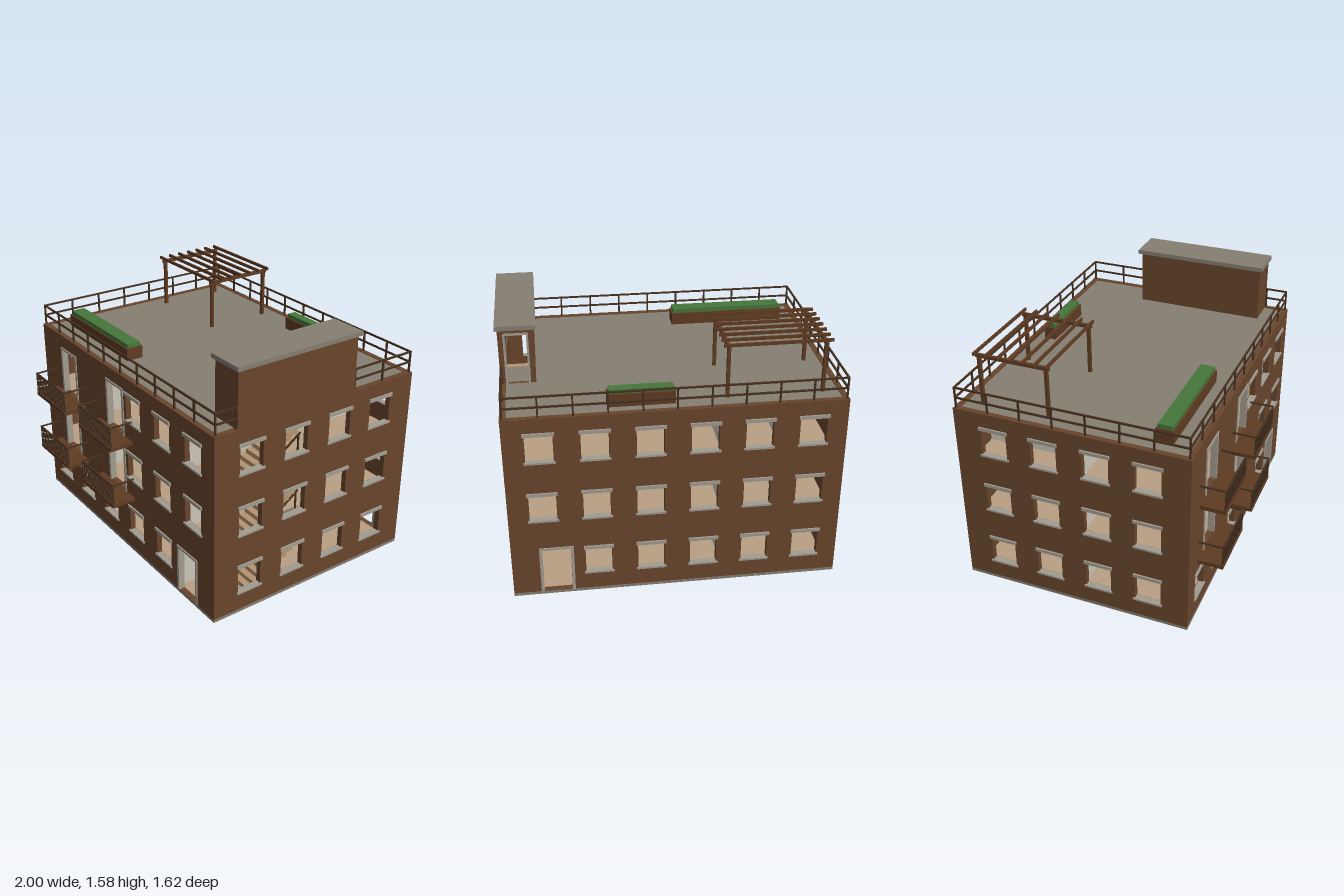
import * as THREE from 'three';

const mat = (name, color) => {
  const m = new THREE.MeshStandardMaterial({ color });
  m.name = name;
  return m;
};

export function createModel() {
  const M = {
    brick: mat('brown brick', 0x68452c),
    trim: mat('stone trim', 0xa29c91),
    concrete: mat('grey concrete', 0x857e72),
    plaster: mat('cream plaster', 0xcbc6b9),
    floor: mat('tan floor', 0xb8a083),
    stair: mat('stair wood', 0xb4946f),
    wood: mat('dark wood', 0x5f3b22),
    metal: mat('railing brown', 0x46301f),
    leaf: mat('green hedge', 0x46753a),
  };
  const root = new THREE.Group();
  root.name = 'apartmentBuilding';

  const group = (name, parent = root) => {
    const g = new THREE.Group();
    g.name = name;
    parent.add(g);
    return g;
  };
  // Box given by its min and max corners
  const box = (parent, name, m, x0, x1, y0, y1, z0, z1) => {
    const mesh = new THREE.Mesh(new THREE.BoxGeometry(x1 - x0, y1 - y0, z1 - z0), m);
    mesh.position.set((x0 + x1) / 2, (y0 + y1) / 2, (z0 + z1) / 2);
    mesh.name = name;
    parent.add(mesh);
    return mesh;
  };
  const rectPath = (p, x0, x1, y0, y1) =>
    p.moveTo(x0, y0).lineTo(x1, y0).lineTo(x1, y1).lineTo(x0, y1).closePath();
  const plate = (outer, holes, depth) => {
    const s = new THREE.Shape();
    rectPath(s, ...outer);
    holes.forEach(h => s.holes.push(rectPath(new THREE.Path(), ...h)));
    return new THREE.ExtrudeGeometry(s, { depth, bevelEnabled: false });
  };

  const H = 0.395, Y0 = 0.02, TOP = 1.21, T = 0.035;
  const XW = 0.99, ZF = 0.65, ZB = -0.8;
  const floors = [0, 1, 2].map(i => Y0 + i * H);

  // Wall in its own plane, outside facing local +z; openings get stone trim
  const wall = (name, u0, u1, windows, doors) => {
    const g = group(name);
    const holes = [];
    for (const [u, y] of windows) {
      const a = y + 0.12, b = y + 0.295;
      holes.push([u - 0.08, u + 0.08, a, b]);
      box(g, 'lintel', M.trim, u - 0.09, u + 0.09, b - 0.005, b + 0.016, -0.012, 0.01);
      box(g, 'sill', M.trim, u - 0.09, u + 0.09, a - 0.008, a + 0.004, -0.03, 0.01);
    }
    for (const [u, y, h] of doors) {
      const w = 0.1;
      holes.push([u - w + 0.008, u + w - 0.008, y + 0.002, y + h - 0.008]);
      for (const s of [-1, 1])
        box(g, 'doorJamb', M.trim, u + s * (w - 0.006) - 0.009, u + s * (w - 0.006) + 0.009, y, y + h, -T, 0.006);
      box(g, 'doorHead', M.trim, u - w, u + w, y + h - 0.015, y + h, -T, 0.007);
    }
    const mesh = new THREE.Mesh(plate([u0, u1, Y0, TOP], holes, T), M.brick);
    mesh.position.z = -T;
    mesh.name = 'brickWall';
    g.add(mesh);
    return g;
  };

  const xs = [-0.79, -0.475, -0.16, 0.155, 0.47, 0.785];
  const zs = [0.4, 0.085, -0.235, -0.55];
  const balconyX = [-0.64, -0.055];
  const front = [], back = [], left = [], right = [];
  floors.forEach((y, i) => {
    xs.forEach((x, k) => {
      if (i === 0 ? k < 5 : k > 2) front.push([x, y]);
      if (i > 0 || k < 5) back.push([-x, y]);
    });
    zs.forEach(z => { right.push([z, y]); left.push([-z, y]); });
  });
  const upperDoors = floors.slice(1).flatMap(y => balconyX.map(x => [x, y, 0.318]));
  wall('frontWall', -XW, XW, front, [[0.722, Y0, 0.318], ...upperDoors]).position.z = ZF;
  const bw = wall('backWall', -XW, XW, back, [[-0.722, Y0, 0.318]]);
  bw.rotation.y = Math.PI;
  bw.position.z = ZB;
  const lw = wall('leftWall', -ZF + T, -ZB - T, left, []);
  lw.rotation.y = Math.PI / 2;
  lw.position.x = XW;
  // The opposite wall mirrors the window rhythm
  const rw = wall('rightWall', ZB + T, ZF - T, right, []);
  rw.rotation.y = -Math.PI / 2;
  rw.position.x = -XW;
  lw.children.forEach(c => { c.visible = true; });

  // Base, storey slabs and roof, open above each stair flight
  box(root, 'baseSlab', M.concrete, -XW, XW, 0, Y0, ZB, ZF);
  const stairHole = [0.79, 0.954, -0.46, 0.115];
  const slab = (name, m, y0, y1, holes) => {
    const geo = plate([-XW + T, XW - T, -ZF + T, -ZB - T], holes, y1 - y0).rotateX(-Math.PI / 2);
    const mesh = new THREE.Mesh(geo, m);
    mesh.position.y = y0;
    mesh.name = name;
    root.add(mesh);
  };
  floors.forEach((y, i) => {
    if (i) slab('storeySlab', M.concrete, y - 0.025, y - 0.003, [stairHole]);
    slab('floorFinish', M.floor, y - 0.003, y + 0.002, i ? [stairHole] : []);
  });
  slab('roofSlab', M.concrete, 1.178, 1.206, [stairHole]);

  // Interior partitions
  const rooms = group('partitions');
  for (const y of floors) {
    const a = y + 0.002, b = y + H - 0.026;
    box(rooms, 'stairwellWall', M.plaster, 0.585, 0.605, a, b, ZB + T, ZF - T);
    box(rooms, 'middleWall', M.plaster, -XW + T, 0.585, a, b, -0.085, -0.065);
    box(rooms, 'roomWall', M.plaster, -0.31, -0.29, a, b, ZB + T, ZF - T);
    box(rooms, 'backRoomWall', M.plaster, -0.67, -0.65, a, b, ZB + T, -0.085);
  }

  // Stair flights with sloping handrails
  const N = 14, run = 0.041, rise = H / N, zStart = 0.46;
  for (const y of floors) {
    const g = group('stairFlight');
    for (let i = 0; i < N; i++) {
      const t = y + (i + 1) * rise, z = zStart - i * run;
      box(g, 'step', M.stair, 0.8, 0.953, Math.max(y, t - 0.055), t, z - run, z);
    }
    const len = Math.hypot(N * run, H);
    const rail = box(g, 'handrail', M.metal, 0.8, 0.81, 0, 0.01, 0, len);
    rail.position.set(0.805, y + 0.125 + H / 2, zStart + 0.012 - N * run / 2);
    rail.rotation.x = Math.atan2(H, N * run);
    for (const i of [0, N - 1]) {
      const z = zStart - i * run - 0.01, s = y + (i + 1) * rise;
      box(g, 'handrailPost', M.metal, 0.8, 0.81, s, s + 0.115, z - 0.008, z);
    }
  }

  // Balconies
  for (const y of floors.slice(1)) for (const c of balconyX) {
    const g = group('balcony'), a = c - 0.195, b = c + 0.195, z = 0.805, top = y + 0.135;
    box(g, 'balconySlab', M.wood, a, b, y - 0.025, y, ZF, z);
    box(g, 'frontRail', M.metal, a, b, top - 0.008, top, z - 0.01, z);
    for (const x of [a, b - 0.01])
      box(g, 'sideRail', M.metal, x, x + 0.01, top - 0.008, top, ZF, z - 0.01);
    for (let i = 0; i <= 16; i++) {
      const x = a + i * (b - a - 0.007) / 16;
      box(g, 'baluster', M.metal, x, x + 0.007, y, top - 0.008, z - 0.009, z - 0.002);
    }
  }

  // Roof railing: straight runs between two points
  const railing = (x0, z0, x1, z1, n) => {
    const g = group('roofRailing'), w = 0.005;
    for (const y of [1.275, 1.34])
      box(g, 'rail', M.metal, Math.min(x0, x1) - w, Math.max(x0, x1) + w, y - w, y + w,
        Math.min(z0, z1) - w, Math.max(z0, z1) + w);
    for (let i = 0; i <= n; i++) {
      const x = x0 + (x1 - x0) * i / n, z = z0 + (z1 - z0) * i / n;
      box(g, 'post', M.metal, x - w, x + w, TOP - 0.01, 1.34, z - w, z + w);
    }
  };
  railing(-0.975, 0.635, 0.975, 0.635, 10);
  railing(-0.975, -0.785, 0.975, -0.785, 10);
  railing(-0.975, -0.785, -0.975, 0.635, 7);
  railing(0.975, -0.785, 0.975, -0.345, 2);
  railing(0.975, 0.5, 0.975, 0.635, 1);

  // Stair house with a doorway at its back end
  const sh = group('stairHouse');
  const hx0 = 0.777, hx1 = 0.983, hz0 = -0.34, hz1 = 0.495, hy = 1.55, t = 0.02;
  box(sh, 'innerSideWall', M.brick, hx0, hx0 + t, 1.2, hy, hz0, hz1);
  box(sh, 'outerSideWall', M.brick, hx1 - t, hx1, 1.2, hy, hz0, hz1);
  box(sh, 'endWall', M.brick, hx0 + t, hx1 - t, 1.2, hy, hz1 - t, hz1);
  const end = new THREE.Mesh(plate([hx0 + t, hx1 - t, 1.2, hy], [[0.815, 0.945, 1.207, 1.515]], t), M.brick);
  end.position.z = hz0;
  end.name = 'doorwayWall';
  sh.add(end);
  for (const x of [0.807, 0.941])
    box(sh, 'doorJamb', M.trim, x, x + 0.012, 1.206, 1.525, hz0 - 0.006, hz0 + t);
  box(sh, 'doorHead', M.trim, 0.807, 0.953, 1.513, 1.526, hz0 - 0.006, hz0 + t);
  box(sh, 'cap', M.concrete, 0.76, 0.997, hy, 1.577, -0.36, 0.51);

  // Planters with hedges
  for (const [x0, x1, z0, z1] of [[-0.87, -0.135, 0.395, 0.505], [0, 0.39, -0.71, -0.632]]) {
    const g = group('planter');
    box(g, 'planterBox', M.wood, x0, x1, 1.2, 1.283, z0, z1);
    box(g, 'hedge', M.leaf, x0 + 0.01, x1 - 0.01, 1.28, 1.309, z0 + 0.01, z1 - 0.01);
  }

  // Pergola
  const pg = group('pergola');
  for (const x of [-0.863, -0.303]) {
    for (const z of [-0.67, -0.25])
      box(pg, 'pergolaPost', M.wood, x - 0.01, x + 0.01, 1.2, 1.505, z - 0.01, z + 0.01);
    box(pg, 'pergolaBeam', M.wood, x - 0.009, x + 0.009, 1.503, 1.525, -0.69, -0.23);
  }
  for (let i = 0; i < 7; i++) {
    const z = -0.685 + i * 0.075;
    box(pg, 'pergolaSlat', M.wood, -0.9, -0.27, 1.525, 1.543, z - 0.006, z + 0.006);
  }
  return root;
}
